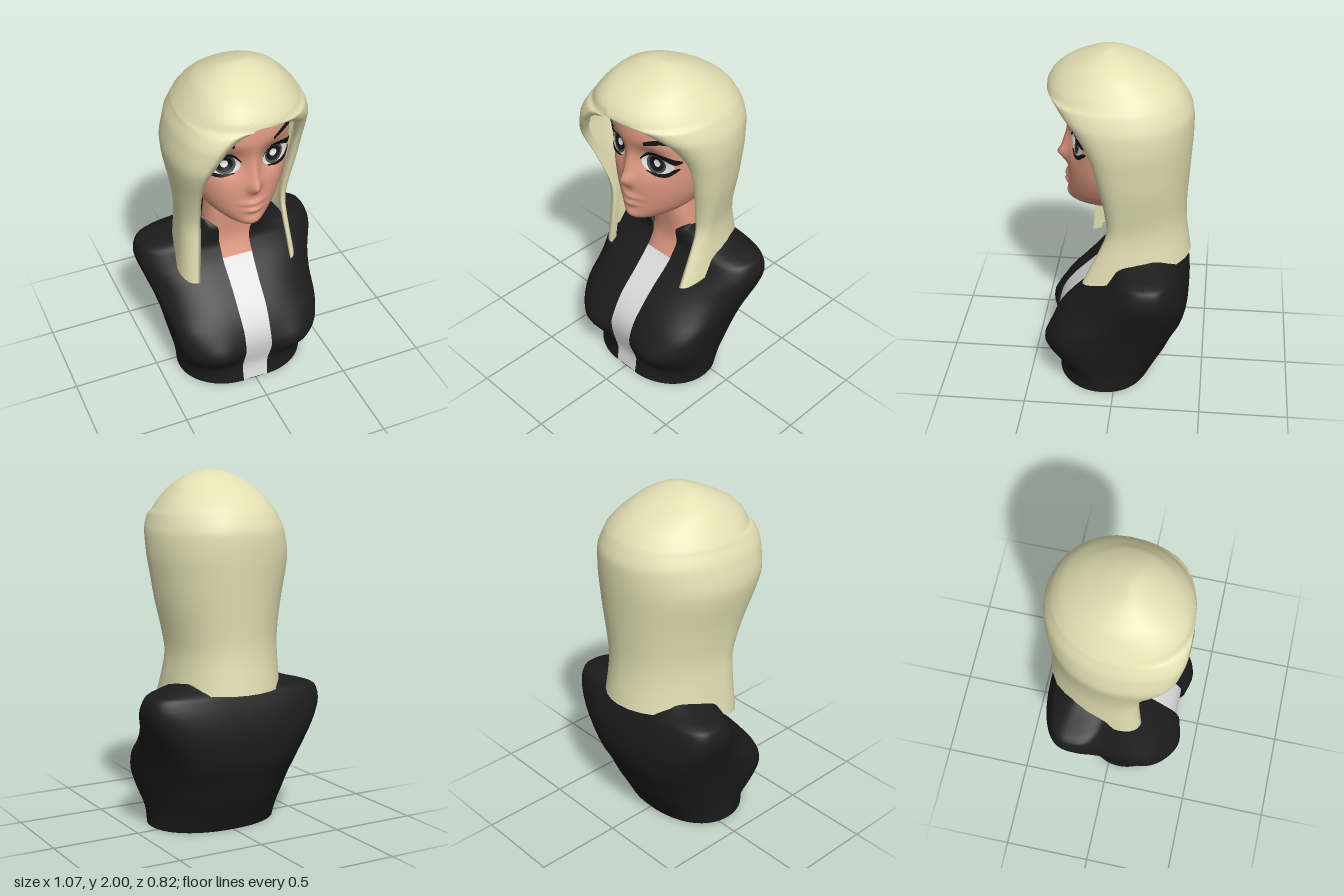
import * as THREE from 'three';
import { mergeVertices } from 'three/addons/utils/BufferGeometryUtils.js';

const mat = (name, color) => new THREE.MeshStandardMaterial({ name, color, side: THREE.DoubleSide });
const clamp = (v) => Math.min(1, Math.max(0, v));
const bell = (x, y, cx, cy, sx, sy) => Math.exp(-(((x - cx) / sx) ** 2) - ((y - cy) / sy) ** 2);

// Smoothly adds k steps between each pair of rows, column by column
function resample(rows, k) {
  const out = [];
  const last = rows.length - 1;
  for (let i = 0; i < last; i++) {
    const [a, b, c, d] = [rows[Math.max(0, i - 1)], rows[i], rows[i + 1], rows[Math.min(last, i + 2)]];
    for (let s = 0; s < k; s++) {
      const t = s / k;
      out.push(b.map((v, j) => v + 0.5 * t * (c[j] - a[j]
        + t * (2 * a[j] - 5 * v + 4 * c[j] - d[j] + t * (3 * (v - c[j]) + d[j] - a[j])))));
    }
  }
  out.push(rows[last]);
  return out;
}

// Skins rows of [x, y, z] points, with smooth normals across seams
function loft(rows) {
  const n = rows[0].length;
  const index = [];
  for (let i = 0; i < rows.length - 1; i++) {
    for (let j = 0; j < n - 1; j++) {
      const a = i * n + j, c = a + n;
      index.push(a, c, a + 1, a + 1, c, c + 1);
    }
  }
  const g = new THREE.BufferGeometry();
  g.setAttribute('position', new THREE.Float32BufferAttribute(rows.flat(2), 3));
  g.setIndex(index);
  const merged = mergeVertices(g, 1e-5);
  merged.computeVertexNormals();
  return merged;
}

// Horizontal outline: left front edge, left side, back, right side, right front edge
function outline(y, el, sl, back, sr, er, frontPower, backPower, steps) {
  const pts = [];
  const quarter = (end, side, flip, power) => {
    for (let i = 0; i <= steps; i++) {
      const t = (flip ? 1 - i / steps : i / steps) * Math.PI / 2;
      const s = i === (flip ? steps : 0) ? 0 : Math.sin(t) ** (2 / power);
      const c = i === (flip ? 0 : steps) ? 0 : Math.cos(t) ** (2 / power);
      pts.push([end[0] + (side[0] - end[0]) * s, y, side[1] + (end[1] - side[1]) * c]);
    }
  };
  quarter(el, sl, false, frontPower);
  quarter(back, sl, true, backPower);
  quarter(back, sr, false, backPower);
  quarter(er, sr, true, frontPower);
  return pts;
}
const ring = (y, e, w, f, zs, b, frontPower, backPower, steps) =>
  outline(y, [-e, f], [-w, zs], [0, b], [w, zs], [e, f], frontPower, backPower, steps);

// Head rows: y, half width, front z, back z
const HEAD_Z = 0.02, HEAD_POWER = 1.95;
const headRows = resample([
  [1.075, 0, 0.12, 0.12], [1.078, 0.07, 0.215, -0.05], [1.1, 0.118, 0.26, -0.1],
  [1.14, 0.166, 0.277, -0.15], [1.2, 0.215, 0.28, -0.2], [1.3, 0.262, 0.28, -0.25],
  [1.42, 0.287, 0.28, -0.28], [1.55, 0.295, 0.286, -0.3], [1.65, 0.29, 0.298, -0.3],
  [1.75, 0.25, 0.28, -0.28], [1.85, 0.15, 0.2, -0.18], [1.9, 0, 0.05, 0.05],
], 8);

// Nose, eye sockets, lips and chin
function relief(x, y) {
  const ax = Math.abs(x);
  return 0.046 * bell(ax, y, 0, 1.365, 0.034, 0.042) + 0.03 * bell(ax, y, 0, 1.43, 0.026, 0.075)
    - 0.06 * bell(ax, y, 0.118, 1.505, 0.075, 0.08) + 0.02 * bell(ax, y, 0, 1.25, 0.058, 0.018)
    + 0.021 * bell(ax, y, 0, 1.21, 0.048, 0.02) - 0.01 * bell(ax, y, 0, 1.232, 0.07, 0.009)
    + 0.014 * bell(ax, y, 0, 1.13, 0.06, 0.03);
}
function faceZ(x, y) {
  let i = 1;
  while (i < headRows.length - 1 && headRows[i][0] < y) i++;
  const [a, b] = [headRows[i - 1], headRows[i]];
  const t = (y - a[0]) / (b[0] - a[0]);
  const w = a[1] + (b[1] - a[1]) * t, f = a[2] + (b[2] - a[2]) * t;
  const u = clamp(1 - Math.abs(x / w) ** HEAD_POWER) ** (1 / HEAD_POWER);
  return HEAD_Z + (f - HEAD_Z) * u + relief(x, y);
}

// Thin painted oval and tapering stroke that follow the face
function oval(cx, cy, rx, ry, off) {
  const rows = [];
  for (let r = 0; r <= 6; r++) {
    rows.push(Array.from({ length: 33 }, (_, i) => {
      const a = -i / 32 * Math.PI * 2;
      const x = cx + rx * r / 6 * Math.cos(a), y = cy + ry * r / 6 * Math.sin(a);
      return [x, y, faceZ(x, y) + off];
    }));
  }
  return loft(rows.reverse());
}
function stroke(side, pts, off) {
  const fine = resample(pts, 5);
  return loft([-1, 0, 1].map((k) => fine.map(([x, y, h]) =>
    [side * x, y + k * h, faceZ(x, y + k * h) + off])));
}

// Jacket rows: y, opening half width, half width, front z, side z, back z, front and back squareness
const bodyRows = resample([
  [0, 0.075, 0.38, 0.34, 0.07, -0.2, 2, 2.2], [0.1, 0.078, 0.388, 0.328, 0.09, -0.25, 2.05, 2.4],
  [0.2, 0.08, 0.41, 0.35, 0.12, -0.3, 2.6, 2.6], [0.3, 0.08, 0.432, 0.364, 0.14, -0.34, 2.9, 2.8],
  [0.4, 0.08, 0.448, 0.345, 0.1, -0.385, 2.8, 3], [0.5, 0.085, 0.472, 0.28, -0.03, -0.405, 2.3, 3],
  [0.6, 0.085, 0.505, 0.185, -0.12, -0.405, 2.2, 3], [0.7, 0.09, 0.535, 0.085, -0.16, -0.385, 2.4, 3],
  [0.77, 0.09, 0.525, 0.035, -0.18, -0.36, 2.5, 3], [0.81, 0.092, 0.49, 0.015, -0.19, -0.34, 2.5, 2.8],
  [0.85, 0.095, 0.345, 0.015, -0.19, -0.29, 2.4, 2.5], [0.89, 0.098, 0.25, 0.025, -0.16, -0.27, 2.5, 2.5],
  [0.94, 0.11, 0.2, 0.03, -0.12, -0.24, 2.7, 2.5], [0.98, 0.165, 0.185, -0.02, -0.1, -0.22, 2.7, 2.5],
], 3);

// Hair around the face: y, left edge x z, left side x, back z, right side x, right edge x z
const hood = [
  [0.7, -0.275, 0.18, -0.36, -0.41, 0.345, 0.28, 0.18],
  [0.98, -0.26, 0.16, -0.345, -0.385, 0.325, 0.27, 0.055],
  [1.12, -0.262, 0.168, -0.346, -0.38, 0.342, 0.27, 0.05],
  [1.3, -0.28, 0.23, -0.37, -0.39, 0.38, 0.29, 0.08],
  [1.45, -0.288, 0.3, -0.4, -0.4, 0.4, 0.3, 0.115],
  [1.55, -0.27, 0.35, -0.41, -0.405, 0.41, 0.292, 0.155],
  [1.65, -0.22, 0.38, -0.39, -0.405, 0.405, 0.262, 0.22],
  [1.7, -0.19, 0.39, -0.375, -0.395, 0.392, 0.225, 0.27],
  [1.75, -0.135, 0.393, -0.35, -0.372, 0.372, 0.15, 0.325],
  [1.768, -0.09, 0.393, -0.342, -0.362, 0.363, 0.07, 0.36],
];
// Crown of the hair: y, left x, right x, front x z, back z
const crown = [
  [1.783, -0.333, 0.353, -0.04, 0.386, -0.352], [1.83, -0.3, 0.317, -0.05, 0.368, -0.312],
  [1.88, -0.26, 0.27, -0.045, 0.32, -0.245], [1.92, -0.22, 0.23, -0.035, 0.26, -0.175],
  [1.965, -0.14, 0.155, -0.01, 0.17, -0.08], [1.99, -0.07, 0.085, 0.01, 0.1, 0],
  [2, 0.03, 0.03, 0.03, 0.05, 0.05],
].map(([y, l, r, x, f, b]) => [y, x, f, l, b, r, x, f]);

function hairRow([y, lx, lz, sl, bz, sr, rx, rz]) {
  const ex = Math.max(lx, rx);
  const sideZ = 0.05 - 0.08 * clamp((2 - y) / 0.2);
  const pts = outline(y, [lx, lz], [sl, 0.05], [0.03, bz], [sr, sideZ], [ex, rz], 2.15, 2.05, 8);
  // rolled inner lip along the opening
  const k = clamp((ex - lx) / 0.25);
  const lip = (x, z) => [x * (1 + 0.05 * k), y + 0.02 * k * clamp((y - 1.4) / 0.3), z - 0.05 * k];
  pts.unshift(lip(lx, lz));
  pts.push(lip(ex, rz));
  // hem rises towards the back
  const lift = 0.11 * clamp((0.98 - y) / 0.28);
  return pts.map(([x, py, z]) => [x, py + lift * clamp((0.16 - z) / 0.5), z]);
}

export function createModel() {
  const group = new THREE.Group();
  group.name = 'bust';
  const skin = mat('skin', 0xe09a82), blonde = mat('blonde hair', 0xe4e0b4);
  const black = mat('black cloth', 0x1c1c1c), white = mat('white cloth', 0xdddddd);
  const ink = mat('lash black', 0x141414), iris = mat('iris grey', 0x4a4a4a);
  const eyeWhite = mat('eye white', 0xe6e6e6);
  const add = (name, geometry, material) => {
    const mesh = new THREE.Mesh(geometry, material);
    mesh.name = name;
    group.add(mesh);
  };

  // Head and neck
  add('head', loft(headRows.map(([y, w, f, b]) => ring(y, 0, w, f, HEAD_Z, b, HEAD_POWER, 2.2, 24)
    .map(([x, py, z]) => [x, py, z > HEAD_Z + 0.02 ? z + relief(x, py) : z]))), skin);
  add('neck', loft(resample([
    [0.55, 0.2, 0.12, -0.2], [0.74, 0.17, 0.022, -0.23], [0.85, 0.15, 0, -0.22],
    [1, 0.135, 0.02, -0.21], [1.1, 0.125, 0.03, -0.2], [1.2, 0.12, 0.03, -0.2],
  ], 3).map(([y, w, f, b]) => ring(y, 0, w, f, -0.09, b, 2.5, 2.5, 8))), skin);

  // Eyes, lashes and brows
  for (const side of [-1, 1]) {
    const label = side > 0 ? 'left' : 'right';
    add(label + 'EyeWhite', oval(side * 0.148, 1.495, 0.086, 0.06, 0.004), eyeWhite);
    add(label + 'Iris', oval(side * 0.14, 1.495, 0.056, 0.056, 0.006), iris);
    add(label + 'Pupil', oval(side * 0.14, 1.495, 0.043, 0.043, 0.008), ink);
    add(label + 'Glint', oval(side * 0.14, 1.495, 0.021, 0.021, 0.0095), eyeWhite);
    add(label + 'UpperLash', stroke(side, [[0.06, 1.51, 0.005], [0.1, 1.55, 0.012],
      [0.145, 1.561, 0.015], [0.2, 1.55, 0.018], [0.24, 1.53, 0.018], [0.264, 1.53, 0.006]], 0.009), ink);
    add(label + 'LowerLash', stroke(side, [[0.095, 1.445, 0.003], [0.15, 1.434, 0.007],
      [0.205, 1.445, 0.013], [0.235, 1.47, 0.014], [0.255, 1.487, 0.005]], 0.009), ink);
    add(label + 'Brow', stroke(side, [[0.11, 1.635, 0.011], [0.15, 1.65, 0.014],
      [0.2, 1.658, 0.014], [0.24, 1.643, 0.01], [0.262, 1.63, 0.003]], 0.008), ink);
  }

  // Jacket with open front, its underside, and the shirt strip
  add('jacket', loft(bodyRows.map(([y, e, w, f, zs, b, fp, bp]) => ring(y, e, w, f, zs, b, fp, bp, 16)
    .map(([x, py, z]) => [x, py, z + clamp((z - zs) / 0.15)
      * 0.056 * bell(Math.abs(x), py, 0.23, 0.27, 0.15, 0.09)]))), black);
  const [y0, , w0, f0, zs0, b0, fp0, bp0] = bodyRows[0];
  add('jacketUnderside', loft([ring(y0, 0, 0, zs0, zs0, zs0, fp0, bp0, 16),
    ring(y0, 0, w0, f0, zs0, b0, fp0, bp0, 16)]), black);
  add('shirt', loft(bodyRows.filter((r) => r[0] < 0.75).map(([y, e, , f]) =>
    [1, 0.5, 0, -0.5, -1].map((k) => [k * (e + 0.015), y, f - 0.004]))), white);

  // Long hair, open around the face
  add('hair', loft(resample([...hood, ...crown], 3).map(hairRow)), blonde);
  return group;
}
